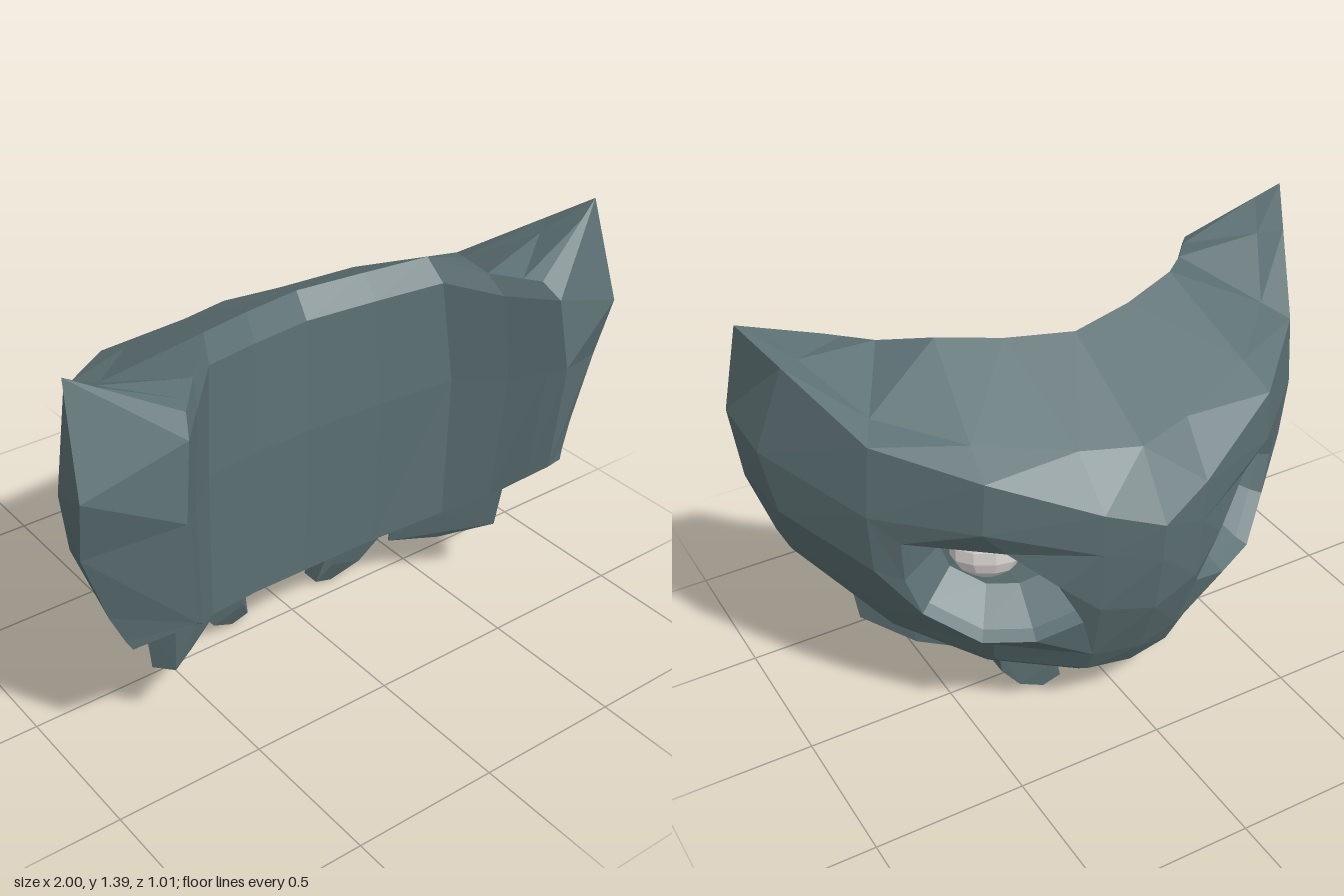
import * as THREE from 'three';
import { ConvexGeometry } from 'three/addons/geometries/ConvexGeometry.js';

const V = (x, y, z) => new THREE.Vector3(x, y, z);

// Key points of each section of one half, from the middle to the horn:
// back ridge, face below it, bottom outer edge, bottom inner edge, top inner edge
const keys = [
  [V(0, .835, -.515), V(0, .7, -.503), V(0, .18, -.33), V(0, .21, .07), V(0, 1.235, .02)],
  [V(.18, .9, -.46), V(.18, .75, -.452), V(.15, .19, -.31), V(.24, .265, .13), V(.22, 1.25, .07)],
  [V(.5, 1.04, -.32), V(.51, .86, -.315), V(.42, .25, -.18), V(.47, .335, .22), V(.42, 1.275, .14)],
  [V(.75, 1.115, -.08), V(.77, .87, -.075), V(.66, .34, .05), V(.58, .42, .33), V(.55, 1.235, .28)],
  [V(.97, 1.39, .31), V(1, 1.06, .41), V(.87, .52, .37), V(.69, .57, .48), V(.66, 1.225, .41)],
];

// Extra section just before the horn end, swelling slightly on the outside
keys.splice(4, 0, keys[3].map((p, i) => {
  const m = p.clone().lerp(keys[4][i], .65);
  if (i === 1) m.x *= 1.06;
  return m;
}));

// Point between two others, widened in x and shifted in y and z
function between(a, b, t, widen, dy, dz) {
  const p = a.clone().lerp(b, t);
  return p.set(p.x * widen, p.y + dy, p.z + dz);
}

// Full closed section: down the outside, under the rim, up the hollow side, over the top
const sections = keys.map(([ridge, face, low, innerLow, innerTop]) => [
  ridge, face,
  between(face, low, .4, 1.04, 0, -.035),
  between(face, low, .83, 1.02, 0, -.02),
  low,
  between(low, innerLow, .1, 1, -.038, 0),
  innerLow,
  between(innerTop, innerLow, .45, 1.07, 0, .05),
  between(innerTop, innerLow, .08, 1.04, 0, .05),
  innerTop,
  between(innerTop, ridge, .74, 1, Math.max(0, .1 - .25 * low.x), 0),
]);

// Rim of the eye opening, a slanted leaf shape narrowing towards the middle
const eyeRim = [V(.29, .63, -.39), V(.43, .76, -.31), V(.69, .78, -.13), V(.68, .63, -.115),
  V(.64, .5, -.14), V(.5, .41, -.26), V(.35, .405, -.335), V(.21, .46, -.385)];
const eyeCentre = V(.47, .59, -.25);
const inward = V(-.51, 0, .86);

// Collects faces for one side; mirrored faces get their corners reversed
function faceBuilder(side) {
  const out = [];
  const tri = (a, b, c) => {
    for (const p of side > 0 ? [a, b, c] : [a, c, b]) out.push(p.x * side, p.y, p.z);
  };
  const quad = (a, b, c, d) => { tri(a, b, c); tri(a, c, d); };
  // Joins closed rings, the outermost first
  const bands = (rings) => {
    for (let k = 0; k < rings.length - 1; k++) {
      const a = rings[k], b = rings[k + 1];
      for (let i = 0; i < a.length; i++) {
        const j = (i + 1) % a.length;
        quad(a[i], a[j], b[j], b[i]);
      }
    }
  };
  const geometry = () => {
    const g = new THREE.BufferGeometry();
    g.setAttribute('position', new THREE.Float32BufferAttribute(out, 3));
    g.computeVertexNormals();
    return g;
  };
  return { tri, quad, bands, geometry };
}

function shellGeometry(side) {
  const f = faceBuilder(side);
  const n = sections[0].length;
  for (let s = 0; s < sections.length - 1; s++) {
    const a = sections[s], b = sections[s + 1];
    for (let r = 0; r < n; r++) {
      const eyeCell = (s === 1 || s === 2) && (r === 1 || r === 2);
      if (!eyeCell) f.quad(a[r], b[r], b[(r + 1) % n], a[(r + 1) % n]);
    }
  }
  // Horn end face
  const e = sections[sections.length - 1];
  f.quad(e[0], e[9], e[8], e[1]);
  f.quad(e[1], e[8], e[7], e[2]);
  f.quad(e[2], e[7], e[6], e[3]);
  f.tri(e[3], e[6], e[4]);
  f.tri(e[4], e[6], e[5]);
  // Surround of the eye opening
  const [, p, q, t] = sections;
  f.bands([[p[1], q[1], t[1], t[2], t[3], q[3], p[3], p[2]], eyeRim]);
  return f.geometry();
}

// Sunken eye socket: shrinking rings pushed into the shell
function socketGeometry(side) {
  const f = faceBuilder(side);
  const inset = (scale, depth, lift) => eyeRim.map((p) =>
    p.clone().sub(eyeCentre).multiplyScalar(scale).add(eyeCentre)
      .addScaledVector(inward, depth).add(V(0, lift, 0)));
  const floor = inset(.62, .15, .04);
  f.bands([eyeRim, inset(.92, .04, .005), floor]);
  const middle = eyeCentre.clone().addScaledVector(inward, .16).add(V(0, .04, 0));
  floor.forEach((p, i) => f.tri(p, floor[(i + 1) % 8], middle));
  return f.geometry();
}

// Side tooth: a slab following the lower rim
function sideToothGeometry(side) {
  const pts = [];
  for (const [x, z, top, low] of [[.7, .28, .47, .25], [.56, .15, .4, .18], [.42, .05, .31, .165]]) {
    for (const k of [-.05, .05]) {
      pts.push(V(side * (x + .68 * k), top, z - .73 * k));
      pts.push(V(side * (x - .02 + .5 * k), low, z - .02 - .55 * k));
    }
  }
  return new ConvexGeometry(pts);
}

// Front fang: tapers down and leans towards the middle
function fangGeometry(side) {
  const pts = [];
  for (const [x, y, z, half] of [[.31, .3, -.08, .09], [.3, .18, -.07, .08], [.25, .08, -.08, .06], [.18, .01, -.09, .033]]) {
    for (const i of [-half, half]) {
      for (const k of [-half, half]) pts.push(V(side * (x + i), y - i * .28, z + k));
    }
  }
  return new ConvexGeometry(pts);
}

export function createModel() {
  const model = new THREE.Group();
  model.name = 'hornedMask';
  const slate = new THREE.MeshStandardMaterial({ color: 0x5c7073, flatShading: true });
  slate.name = 'slate';
  const white = new THREE.MeshStandardMaterial({ color: 0xe0dcda, flatShading: true });
  white.name = 'eyeWhite';

  const add = (name, geometry, material) => {
    const mesh = new THREE.Mesh(geometry, material);
    mesh.name = name;
    model.add(mesh);
    return mesh;
  };

  for (const side of [1, -1]) {
    const label = side > 0 ? 'left' : 'right';
    add(label + 'Shell', shellGeometry(side), slate);
    add(label + 'EyeSocket', socketGeometry(side), slate);
    add(label + 'SideTooth', sideToothGeometry(side), slate);
    add(label + 'Fang', fangGeometry(side), slate);
    const eye = add(label + 'Eye', new THREE.SphereGeometry(1, 10, 7), white);
    eye.scale.set(.115, .1, .06);
    eye.position.set(side * .415, .665, -.14);
    eye.rotation.y = side * -.535;
  }
  return model;
}
